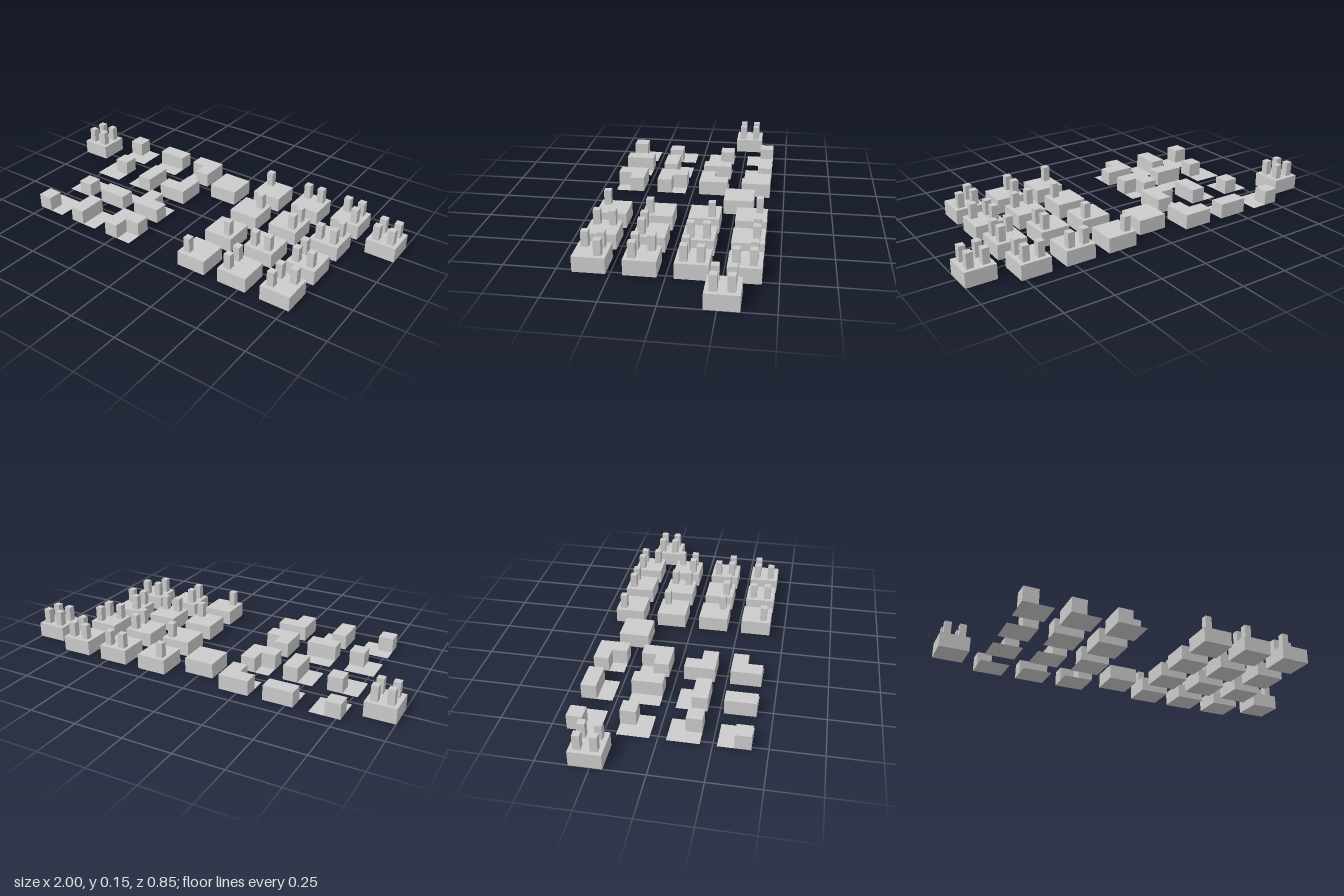
import * as THREE from 'three';

const SIZE = 0.154, HALF = SIZE / 2, HEIGHT = 0.077;
const PITCH = SIZE * 1.5;
const PIN = 0.035, PIN_OFFSET = HALF / 2;

// Corners seen from above, clockwise: back left, back right, front right, front left
const CORNERS = [[-1, -1], [1, -1], [1, 1], [-1, 1]];

// Outlines of one, two and three raised quarters, starting at the back left
const OUTLINES = [
  [[-1, 0], [0, 0], [0, 1], [-1, 1]],
  [[-1, 0], [1, 0], [1, 1], [-1, 1]],
  [[-1, 0], [0, 0], [0, -1], [1, -1], [1, 1], [-1, 1]],
];

const material = new THREE.MeshStandardMaterial({ color: 0xcccccc, flatShading: true });
const thinMaterial = new THREE.MeshStandardMaterial({ color: 0xcccccc, side: THREE.DoubleSide });

const baseGeometry = new THREE.BoxGeometry(SIZE, HEIGHT, SIZE).translate(0, HEIGHT / 2, 0);
const pinGeometry = new THREE.BoxGeometry(PIN, HEIGHT, PIN).translate(0, HEIGHT * 1.5, 0);
const floorGeometry = new THREE.PlaneGeometry(SIZE, SIZE).rotateX(-Math.PI / 2);
const raisedGeometries = OUTLINES.map((points) => {
  const shape = new THREE.Shape(points.map(([x, y]) => new THREE.Vector2(x * HALF, y * HALF)));
  return new THREE.ExtrudeGeometry(shape, { depth: HEIGHT, bevelEnabled: false }).rotateX(-Math.PI / 2);
});

function addMesh(parent, name, geometry, mat = material) {
  const mesh = new THREE.Mesh(geometry, mat);
  mesh.name = name;
  parent.add(mesh);
  return mesh;
}

// Full block with `count` pins, going clockwise from corner `first`
function pinnedTile(count, first = 0) {
  const tile = new THREE.Group();
  tile.name = count ? 'pinnedTile' : 'plainTile';
  addMesh(tile, 'base', baseGeometry);
  for (let i = 0; i < count; i++) {
    const [x, z] = CORNERS[(first + i) % 4];
    addMesh(tile, 'pin', pinGeometry).position.set(x * PIN_OFFSET, 0, z * PIN_OFFSET);
  }
  return tile;
}

// Thin floor with `count` raised quarters, turned clockwise by `turn` quarter turns
function steppedTile(count, turn) {
  const tile = new THREE.Group();
  tile.name = 'steppedTile';
  addMesh(tile, 'floor', floorGeometry, thinMaterial);
  addMesh(tile, 'raisedBlock', raisedGeometries[count - 1]);
  tile.rotation.y = -turn * Math.PI / 2;
  return tile;
}

export function createModel() {
  const model = new THREE.Group();
  model.name = 'tileSet';
  const place = (tile, column, z) => {
    tile.position.set(column * PITCH, 0, z);
    model.add(tile);
  };

  // Two matching 3 x 4 grids: stepped tiles on one side, pinned tiles on the other
  for (let row = 0; row < 4; row++) {
    const z = (row - 1.5) * PITCH;
    for (let count = 1; count <= 3; count++) {
      place(steppedTile(count, row), count - 4, z);
      place(pinnedTile(count, row), count, z);
    }
  }

  // Single tiles: plain in the middle, four pins at both ends
  const singleZ = -0.27;
  place(pinnedTile(0), 0, singleZ);
  place(pinnedTile(4), -4, singleZ);
  place(pinnedTile(4), 4, singleZ);

  return model;
}
